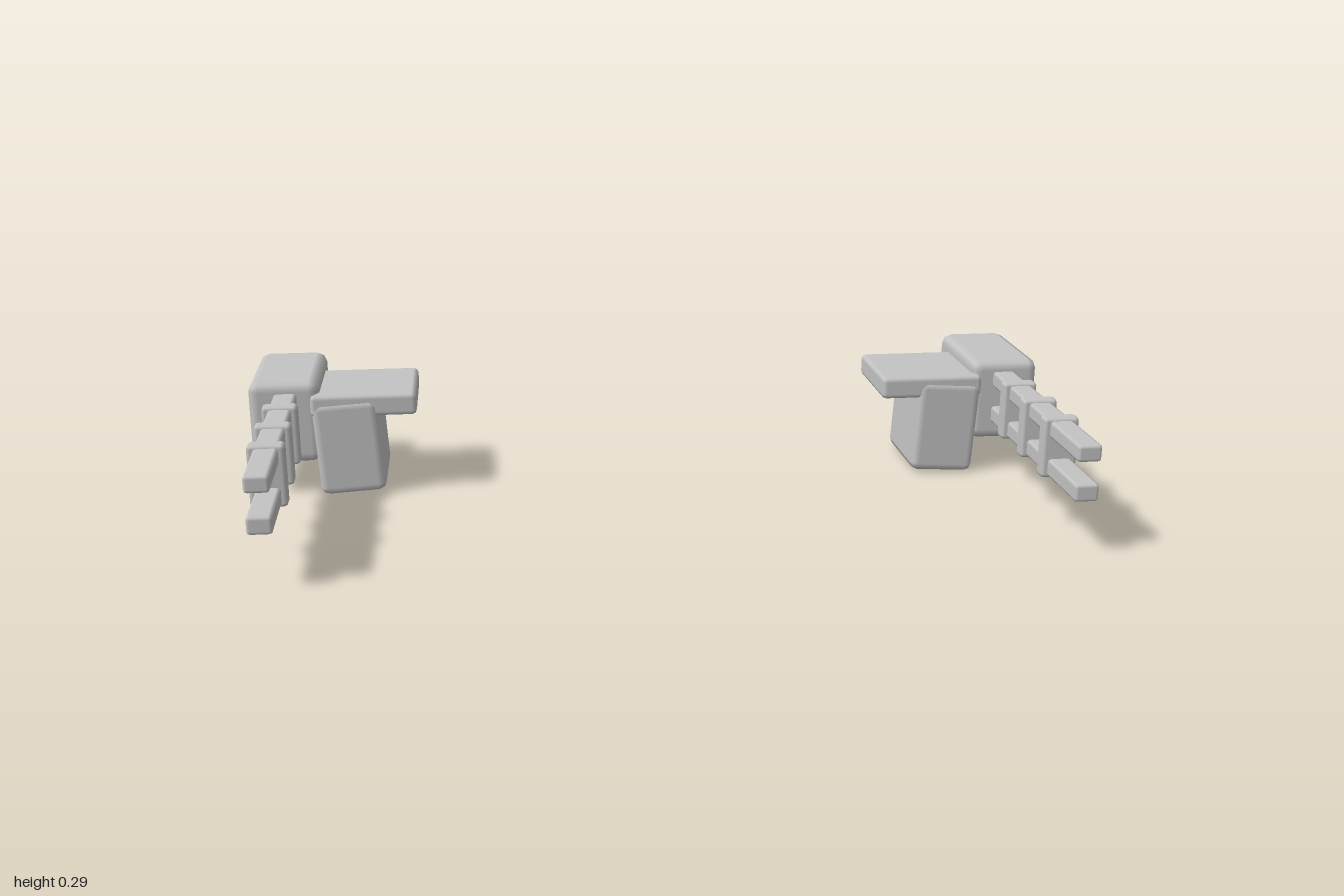
import * as THREE from 'three';
import { RoundedBoxGeometry } from 'three/addons/geometries/RoundedBoxGeometry.js';

export function createModel() {
  const model = new THREE.Group();
  model.name = 'twinArmGuns';
  const grey = new THREE.MeshStandardMaterial({ name: 'lightGrey', color: 0xc4c4c4 });

  // Box with a single-step bevel, given by its [min, max] ranges
  function block(parent, name, x, y, z, bevel, side, tilt = 0) {
    const size = [x, y, z].map(([a, b]) => b - a);
    const mesh = new THREE.Mesh(new RoundedBoxGeometry(...size, 1, bevel), grey);
    mesh.name = name;
    mesh.position.set(side * (x[0] + x[1]) / 2, (y[0] + y[1]) / 2, (z[0] + z[1]) / 2);
    mesh.rotation.z = side * tilt;
    parent.add(mesh);
    return mesh;
  }

  for (const side of [1, -1]) {
    const arm = new THREE.Group();
    arm.name = side > 0 ? 'leftArm' : 'rightArm';

    // Gun housing
    block(arm, 'gunHousing', [0.828, 1.0], [0.085, 0.294], [-0.47, -0.153], 0.025, side);

    // Two long barrels
    block(arm, 'upperBarrel', [0.882, 0.938], [0.226, 0.266], [-0.22, 0.47], 0.008, side);
    block(arm, 'lowerBarrel', [0.882, 0.938], [0.132, 0.174], [-0.22, 0.47], 0.008, side);

    // Bands clamping the barrels together
    for (const z of [-0.036, 0.114, 0.264]) {
      block(arm, 'barrelBand', [0.868, 0.952], [0.127, 0.273], [z - 0.02, z + 0.02], 0.009, side);
    }

    // Shoulder plate and the slightly tilted upper arm beneath it
    block(arm, 'shoulderPlate', [0.59, 0.85], [0.205, 0.261], [-0.395, -0.14], 0.012, side);
    block(arm, 'upperArm', [0.679, 0.842], [0.006, 0.245], [-0.385, -0.135], 0.02, side, -0.06);

    model.add(arm);
  }
  return model;
}
